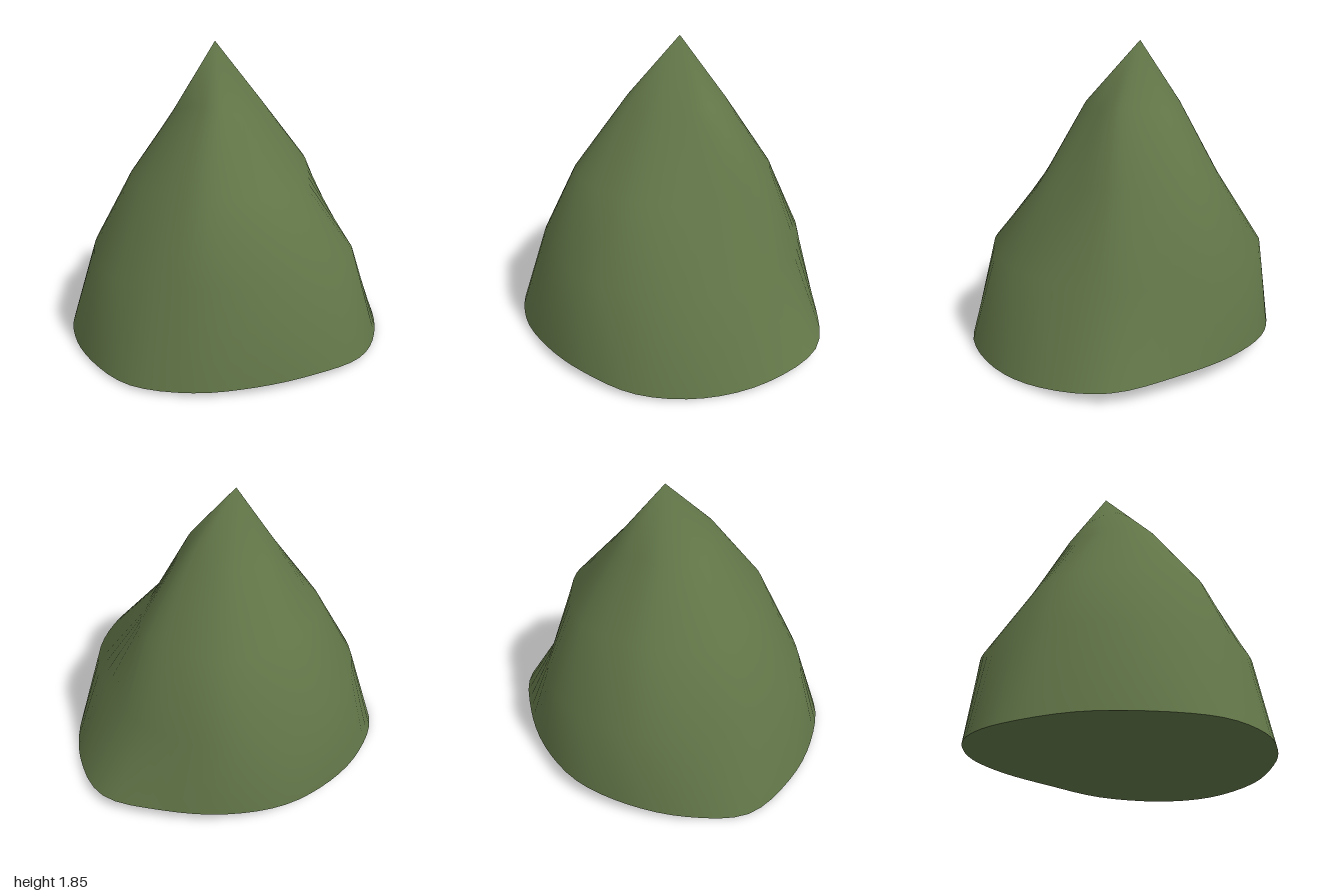
import * as THREE from 'three';

const SIDES = 64;

// Radii and heights at equal angles, running from +x (left) through +z (front).
const RINGS = [
  { // hem
    radii: [0.995, 0.98, 0.925, 0.905, 0.94, 0.98, 0.955, 0.965, 1.0, 0.95, 0.93, 0.94, 0.945, 0.985, 1.08, 1.035],
    heights: [0.01, 0.03, 0.05, 0.042, 0.03, 0.022, 0.02, 0.018, 0.005, 0.045, 0.085, 0.105, 0.11, 0.105, 0.075, 0.03],
  },
  { // lower bend
    radii: [0.83, 0.815, 0.79, 0.83, 0.82, 0.865, 0.86, 0.8],
    heights: [0.58, 0.6, 0.59, 0.55, 0.59, 0.61, 0.59, 0.54],
  },
  { // middle bend
    radii: [0.49, 0.49, 0.58, 0.54, 0.59, 0.59, 0.64, 0.635],
    heights: [0.99, 1.0, 1.05, 1.03, 1.02, 1.04, 1.05, 1.08],
  },
  { // upper bend
    radii: [0.24, 0.24, 0.245, 0.235, 0.305, 0.35, 0.37, 0.29],
    heights: [1.44, 1.45, 1.5, 1.49, 1.43, 1.48, 1.46, 1.48],
  },
];
const APEX = [-0.06, 1.85, -0.09];

// Smooth closed ring through the given radii and heights
function ringPoints({ radii, heights }) {
  const curve = new THREE.CatmullRomCurve3(radii.map((r, i) => {
    const a = (i / radii.length) * Math.PI * 2;
    return new THREE.Vector3(r * Math.cos(a), heights[i], r * Math.sin(a));
  }), true, 'centripetal');
  return Array.from({ length: SIDES }, (_, i) => curve.getPoint(i / SIDES));
}

function surface(positions, index) {
  const g = new THREE.BufferGeometry();
  g.setAttribute('position', new THREE.Float32BufferAttribute(positions, 3));
  g.setIndex(index);
  g.computeVertexNormals();
  return g;
}

export function createModel() {
  const group = new THREE.Group();
  group.name = 'cone';
  const green = new THREE.MeshStandardMaterial({ color: 0x627648 });
  green.name = 'moss green';
  const rings = RINGS.map(ringPoints);

  // Sloping body, closed to a point
  const positions = rings.flat().flatMap(p => [p.x, p.y, p.z]);
  positions.push(...APEX);
  const tip = rings.length * SIDES;
  const index = [];
  for (let r = 0; r < rings.length; r++) {
    for (let i = 0; i < SIDES; i++) {
      const a = r * SIDES + i, b = r * SIDES + (i + 1) % SIDES;
      if (r === rings.length - 1) index.push(a, tip, b);
      else index.push(a, a + SIDES, b, b, a + SIDES, b + SIDES);
    }
  }
  const body = new THREE.Mesh(surface(positions, index), green);
  body.name = 'body';

  // Underside
  const basePositions = rings[0].flatMap(p => [p.x, p.y, p.z]);
  basePositions.push(0, 0.05, 0);
  const baseIndex = [];
  for (let i = 0; i < SIDES; i++) baseIndex.push(SIDES, i, (i + 1) % SIDES);
  const base = new THREE.Mesh(surface(basePositions, baseIndex), green);
  base.name = 'underside';

  group.add(body, base);
  return group;
}
